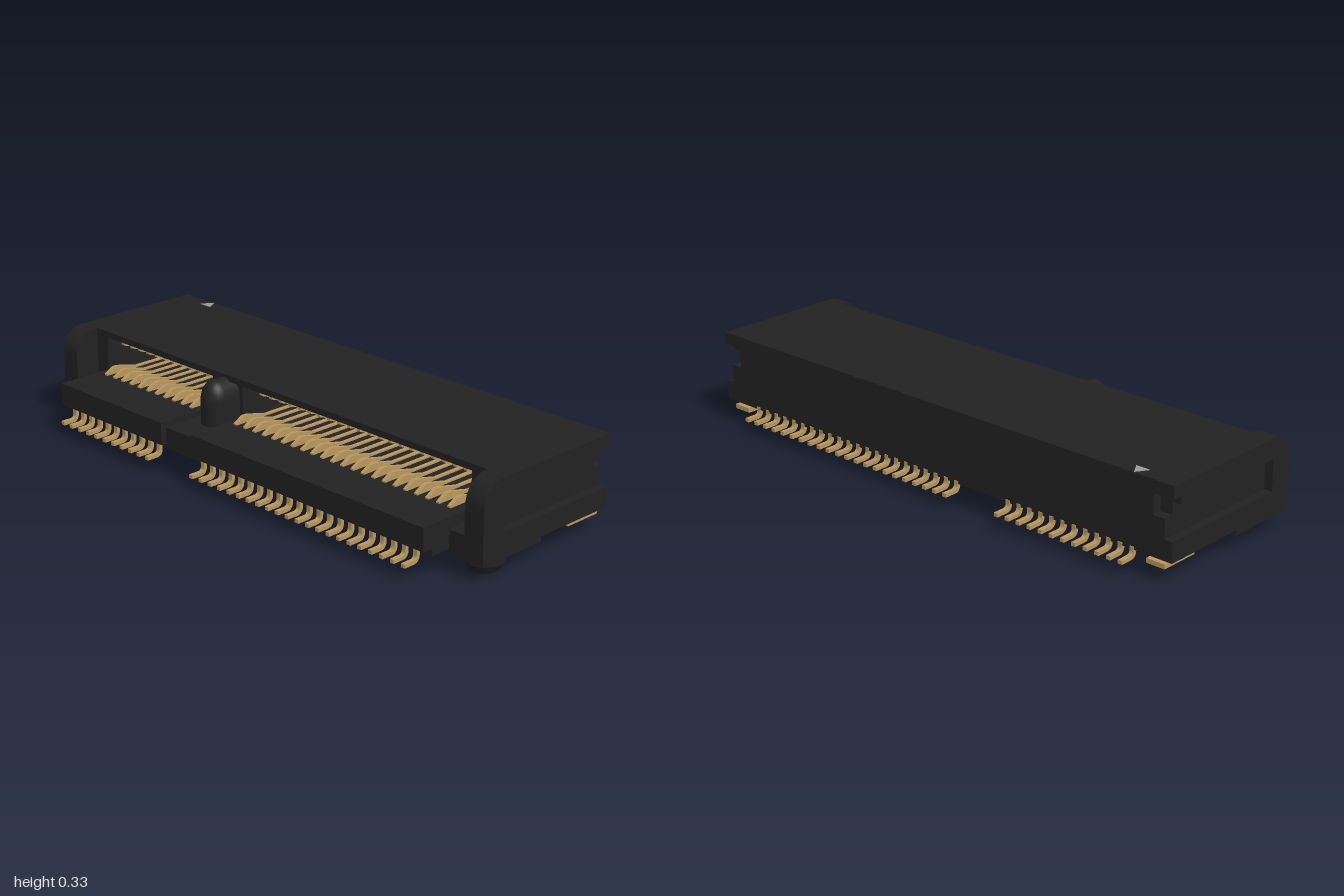
import * as THREE from 'three';

const mat = (name, color) => {
  const m = new THREE.MeshStandardMaterial({ color });
  m.name = name;
  return m;
};

export function createModel() {
  const black = mat('black plastic', 0x222222);
  const gold = mat('gold metal', 0xb8975f);
  const grey = mat('grey marking', 0x9a9a9a);
  const model = new THREE.Group();
  model.name = 'edgeConnector';

  const add = (name, geo, material, parent = model) => {
    const mesh = new THREE.Mesh(geo, material);
    mesh.name = name;
    parent.add(mesh);
    return mesh;
  };
  // box given by its limits
  const box = (name, x0, x1, y0, y1, z0, z1, material = black) => {
    const g = new THREE.BoxGeometry(x1 - x0, y1 - y0, z1 - z0);
    g.translate((x0 + x1) / 2, (y0 + y1) / 2, (z0 + z1) / 2);
    return add(name, g, material);
  };
  // side profile, drawn in (z, y), swept from x0 to x1
  const sweep = (shape, x0, x1) => {
    const g = new THREE.ExtrudeGeometry(shape, { depth: x1 - x0, bevelEnabled: false, curveSegments: 10 });
    g.rotateY(-Math.PI / 2);
    g.translate(x1, 0, 0);
    return g;
  };
  const poly = (pts) => new THREE.Shape(pts.map(([z, y]) => new THREE.Vector2(z, y)));

  // Housing with the card slot, sloping ceiling and stepped tongue
  const slotProfile = poly([
    [-0.34, 0.08], [0.325, 0.08], [0.325, 0.105], [0.365, 0.105], [0.365, 0.185], [-0.1, 0.185],
    [-0.1, 0.255], [0.05, 0.27], [0.14, 0.308], [0.155, 0.308], [0.155, 0.33], [-0.34, 0.33],
  ]);
  add('longSlotHousing', sweep(slotProfile, -0.18, 0.865), black);
  add('shortSlotHousing', sweep(slotProfile, -0.87, -0.33), black);

  // Solid web between the two slots
  const webProfile = poly([
    [-0.34, 0.08], [0.325, 0.08], [0.325, 0.09], [0.345, 0.09], [0.345, 0.165],
    [0.13, 0.165], [0.13, 0.308], [0.155, 0.308], [0.155, 0.33], [-0.34, 0.33],
  ]);
  add('keyWeb', sweep(webProfile, -0.33, -0.18), black);

  // Key post with a rounded nose and domed top
  const px = -0.245, pz = 0.195;
  const post = add('keyPost', new THREE.CylinderGeometry(0.05, 0.05, 0.09, 24), black);
  post.position.set(px, 0.205, pz);
  const dome = add('keyPostDome', new THREE.SphereGeometry(0.05, 24, 8, 0, Math.PI * 2, 0, Math.PI / 2), black);
  dome.scale.y = 1.4;
  dome.position.set(px, 0.25, pz);
  box('keyPostNeck', px - 0.05, px + 0.05, 0.16, 0.25, 0.1, pz);
  const ridge = add('keyPostRidge', new THREE.CylinderGeometry(0.05, 0.05, 0.095, 24).rotateX(Math.PI / 2), black);
  ridge.scale.y = 1.4;
  ridge.position.set(px, 0.25, 0.1475);

  // End cheeks: rounded front, rear corner notch, and a long groove outside
  const cheekProfile = (groove) => {
    const s = new THREE.Shape();
    s.moveTo(-0.34, 0.08);
    s.lineTo(-0.02, 0.08);
    s.lineTo(-0.02, 0.062);
    s.lineTo(0.25, 0.062);
    s.lineTo(0.25, 0.245);
    s.absarc(0.165, 0.245, 0.085, 0, Math.PI / 2, false);
    s.lineTo(-0.34, 0.33);
    s.lineTo(-0.34, 0.287);
    s.lineTo(-0.305, 0.287);
    if (groove) {
      s.lineTo(-0.305, 0.26);
      s.lineTo(0.16, 0.26);
      s.lineTo(0.16, 0.15);
      s.lineTo(-0.34, 0.15);
    } else {
      s.lineTo(-0.305, 0.217);
      s.lineTo(-0.34, 0.217);
    }
    return s;
  };
  const spans = (side, a, b) => (side > 0 ? [a, b] : [-b, -a]);
  for (const side of [-1, 1]) {
    const tag = side > 0 ? 'left' : 'right';
    add(tag + 'CheekOuter', sweep(cheekProfile(true), ...spans(side, 0.97, 1)), black);
    add(tag + 'CheekInner', sweep(cheekProfile(false), ...spans(side, 0.925, 0.97)), black);
    box(tag + 'SlotEnd', ...spans(side, 0.865, 0.925), 0.08, 0.33, -0.34, 0.155);
    box(tag + 'Foot', ...spans(side, 0.865, 0.925), 0.062, 0.145, -0.02, 0.25);

    // Locating peg, wider on the left
    const r = side > 0 ? 0.066 : 0.036;
    const peg = add(tag + 'Peg', new THREE.LatheGeometry([
      [0, 0], [r * 0.74, 0], [r, 0.028], [r, 0.07],
    ].map(([a, b]) => new THREE.Vector2(a, b)), 32), black);
    peg.geometry = peg.geometry.toNonIndexed();
    peg.geometry.computeVertexNormals();
    peg.position.set(side * 0.912, 0, 0.14);

    // Solder tab
    box(tag + 'SolderTab', ...spans(side, 0.9, 0.97), 0.05, 0.066, -0.335, -0.19, gold);
    box(tag + 'SolderTabStem', ...spans(side, 0.915, 0.955), 0.052, 0.085, -0.3, -0.23, gold);
  }

  // Bent solder pin, drawn with its tail toward +z
  const pinGeometry = (tail, stem, top) => {
    const s = new THREE.Shape();
    const t = 0.013;
    s.moveTo(tail, 0.05);
    s.lineTo(tail, 0.05 + t);
    s.lineTo(stem + t + 0.013, 0.05 + t);
    s.quadraticCurveTo(stem + t, 0.05 + t, stem + t, 0.078);
    s.lineTo(stem + t, top);
    s.lineTo(stem, top);
    s.lineTo(stem, 0.078);
    s.quadraticCurveTo(stem, 0.05, stem + 0.026, 0.05);
    return sweep(s, -0.008, 0.008);
  };
  const frontPin = pinGeometry(0.4, 0.335, 0.11);
  const rearPin = pinGeometry(0.397, 0.329, 0.09).rotateY(Math.PI);

  // Spring contacts inside the slot
  const lowerContact = sweep(poly([
    [-0.1, 0.18], [0.2, 0.18], [0.2, 0.19], [0.165, 0.21], [0.145, 0.21], [0.06, 0.19], [-0.1, 0.19],
  ]), -0.007, 0.007);
  const upperContact = sweep(poly([
    [-0.1, 0.25], [0.02, 0.246], [0.06, 0.256], [0.1, 0.27], [0.1, 0.28], [0.05, 0.272], [-0.1, 0.262],
  ]), -0.007, 0.007);

  const pitch = 0.0457;
  const row = (name, geo, x0, count) => {
    const group = new THREE.Group();
    group.name = name;
    model.add(group);
    for (let i = 0; i < count; i++) add(name + 'Pin', geo, gold, group).position.x = x0 + i * pitch;
  };
  for (const [name, geo] of [['frontTail', frontPin], ['lowerContact', lowerContact]]) {
    row(name + 'Short', geo, -0.826, 11);
    row(name + 'Long', geo, -0.143, 22);
  }
  for (const [name, geo] of [['rearTail', rearPin], ['upperContact', upperContact]]) {
    row(name + 'Short', geo, -0.849, 12);
    row(name + 'Long', geo, -0.121, 22);
  }

  // Triangular first-pin mark on the roof
  const mark = new THREE.Shape([[-0.026, 0], [0.026, 0], [0, 0.042]].map(([x, y]) => new THREE.Vector2(x, y)));
  const triangle = add('pinOneMark', new THREE.ExtrudeGeometry(mark, { depth: 0.002, bevelEnabled: false }), grey);
  triangle.rotation.x = -Math.PI / 2;
  triangle.position.set(-0.847, 0.33, -0.295);

  return model;
}
